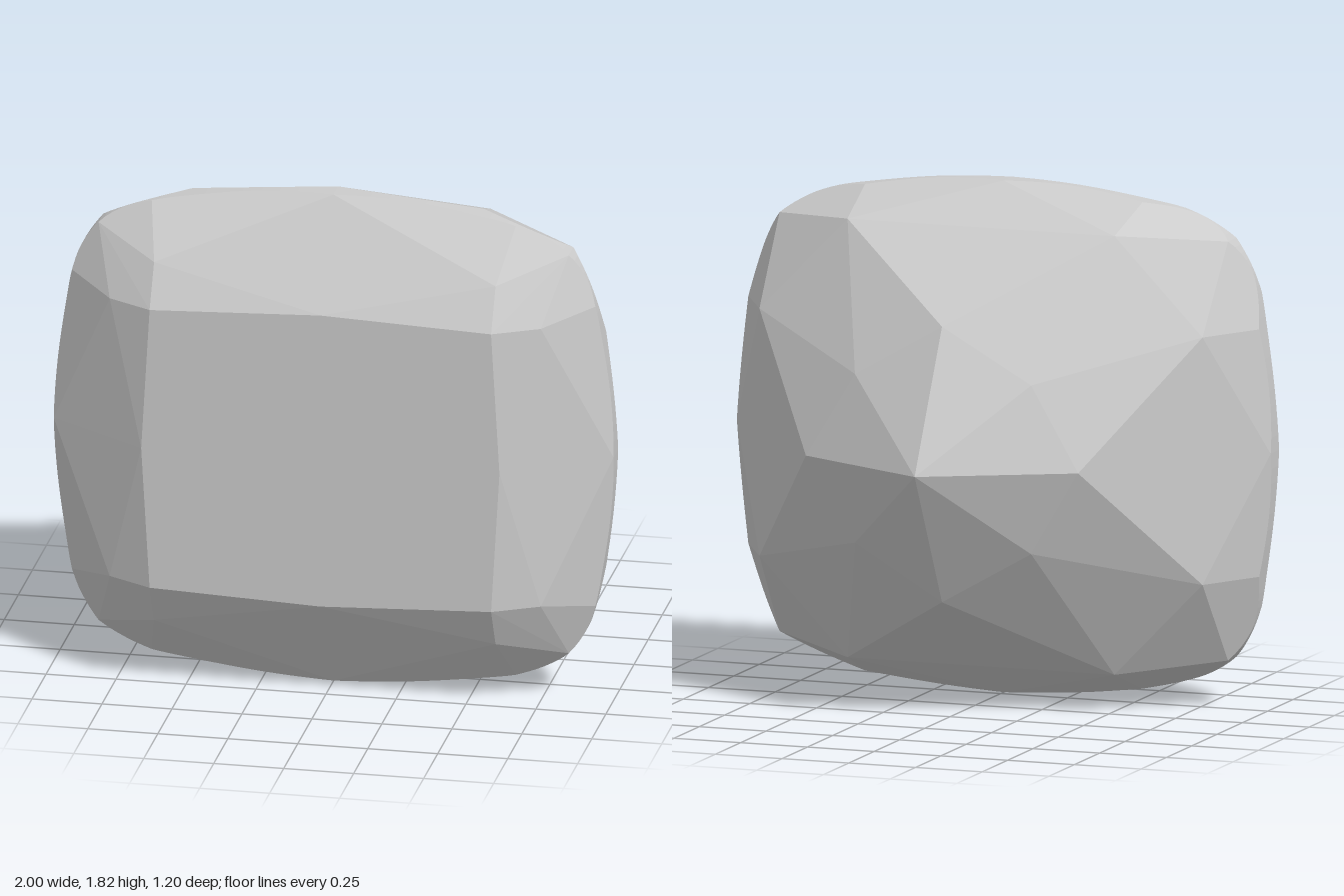
import * as THREE from 'three';
import { ConvexGeometry } from 'three/addons/geometries/ConvexGeometry.js';

const HALF_HEIGHT = 0.91;
const STEPS = 4; // girdle samples per span
const v = (x, y, z = 0) => new THREE.Vector3(x, y, z);

// One quadrant of the cushion-shaped girdle outline
const OUTLINE = [
  [1, 0], [0.988, 0.22], [0.957, 0.44], [0.935, 0.56], [0.905, 0.65], [0.84, 0.745],
  [0.75, 0.805], [0.65, 0.84], [0.52, 0.865], [0.26, 0.9], [0, HALF_HEIGHT],
].map(([x, y]) => v(x, y));

// Facet corners of the crown (front) and the pavilion (back), one quadrant
const crown = {
  tableSide: v(0.64, 0, 0.6), tableCorner: v(0.61, 0.52, 0.6), tableTop: v(0, 0.545, 0.6),
  kiteSide: v(0.77, 0.52, 0.513), kiteTop: v(0.61, 0.67, 0.52),
};
const pavilion = {
  apex: v(0, 0, -0.6),
  side: v(0.51, 0, -0.33), top: v(0, 0.49, -0.33), diagonal: v(0.33, 0.3, -0.32),
  lowerSide: v(0.83, 0.44, 0.055), lowerTop: v(0.5, 0.78, 0.055),
};

// Where the girdle wall meets the flat facets, which gives its scalloped edges
function girdleEdge(z, anchors, inner) {
  const n = OUTLINE.length;
  const mirrored = [
    v(OUTLINE[1].x, -OUTLINE[1].y), ...OUTLINE, v(-OUTLINE[n - 2].x, OUTLINE[n - 2].y),
  ];
  const curve = new THREE.CatmullRomCurve3(mirrored);
  const points = [];
  for (let f = 0; f < inner.length; f++) {
    const a = OUTLINE[anchors[f]].clone().setZ(z);
    const b = OUTLINE[anchors[f + 1]].clone().setZ(z);
    const { normal, constant } = new THREE.Plane().setFromCoplanarPoints(a, b, inner[f]);
    for (let k = anchors[f] * STEPS; k <= anchors[f + 1] * STEPS; k++) {
      const p = curve.getPoint((1 + k / STEPS) / (n + 1));
      p.z = -(normal.x * p.x + normal.y * p.y + constant) / normal.z;
      points.push(p);
    }
  }
  return points;
}

// Repeat a quadrant on all four sides, skipping coincident points
function mirrorQuadrant(points) {
  const unique = new Map();
  for (const p of points) {
    for (const sx of [1, -1]) {
      for (const sy of [1, -1]) {
        const q = v(p.x * sx, p.y * sy, p.z);
        const key = [q.x, q.y, q.z].map((c) => Math.round(c * 1e4) + 0).join();
        if (!unique.has(key)) unique.set(key, q);
      }
    }
  }
  return [...unique.values()];
}

export function createModel() {
  const group = new THREE.Group();
  group.name = 'cushionCutGem';

  const { kiteSide, kiteTop } = crown;
  const { lowerSide, lowerTop } = pavilion;
  const quadrant = [
    ...Object.values(crown),
    ...girdleEdge(0.363, [0, 3, 5, 7, 10], [kiteSide, kiteSide, kiteTop, kiteTop]),
    ...girdleEdge(0.28, [0, 2, 5, 8, 10], [lowerSide, lowerSide, lowerTop, lowerTop]),
    ...Object.values(pavilion),
  ];

  // The cut stone is convex, so its facets are the hull of its corners
  const stone = new THREE.Mesh(
    new ConvexGeometry(mirrorQuadrant(quadrant)),
    new THREE.MeshStandardMaterial({ color: 0xcccccc, flatShading: true }),
  );
  stone.name = 'facetedStone';
  stone.position.y = HALF_HEIGHT;
  group.add(stone);
  return group;
}
